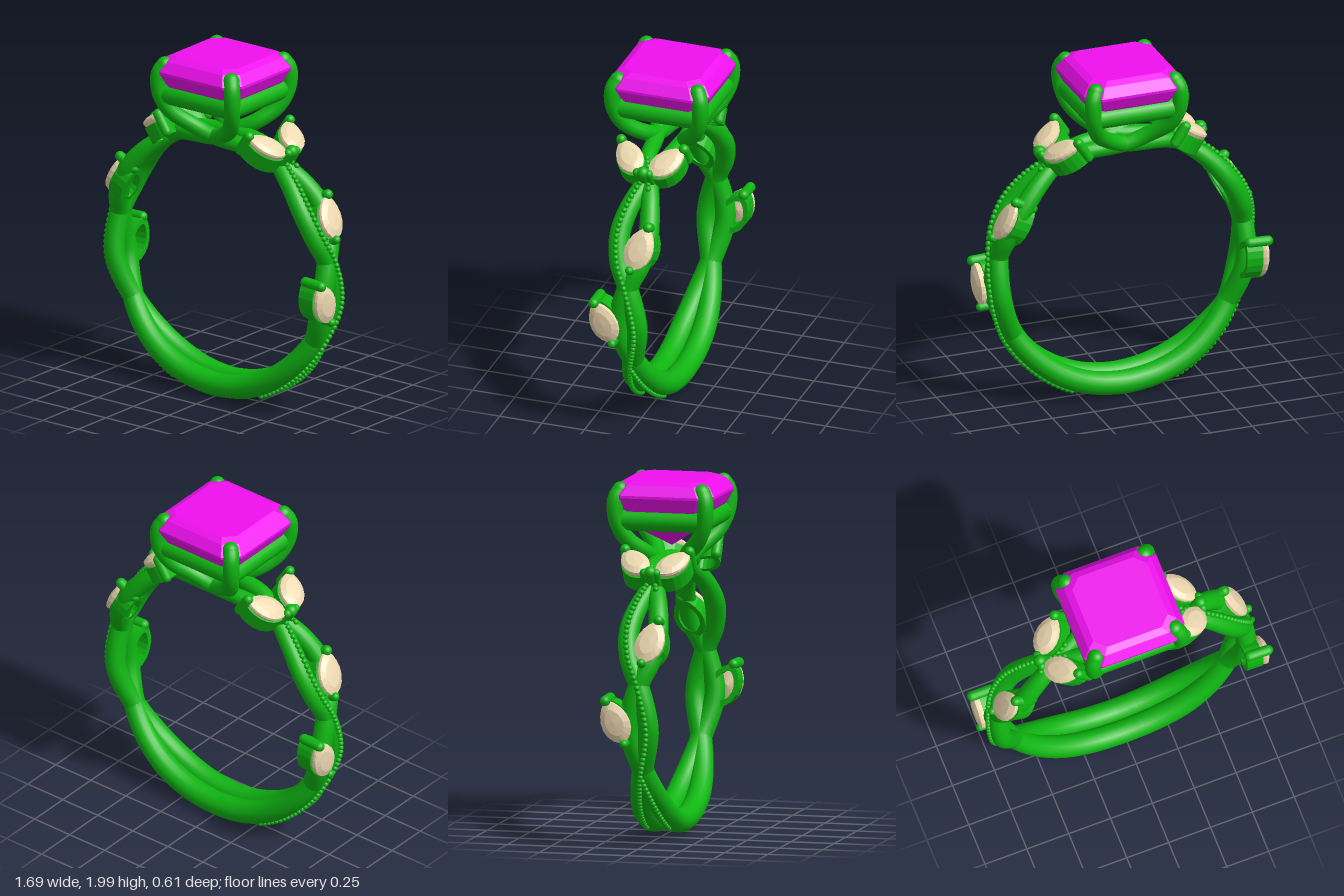
import * as THREE from 'three';
import { mergeGeometries } from 'three/addons/utils/BufferGeometryUtils.js';

const V = (x, y, z) => new THREE.Vector3(x, y, z);
const metal = new THREE.MeshStandardMaterial({ color: 0x0fb512 });
const gemMat = new THREE.MeshStandardMaterial({ color: 0xf010f0, flatShading: true });
const leafMat = new THREE.MeshStandardMaterial({ color: 0xecd8b0, flatShading: true });

const CY = 0.81; // height of the ring centre
const R = 0.738; // radius of the band centre line

function mesh(name, geo, mat) {
  const m = new THREE.Mesh(geo, mat);
  m.name = name;
  return m;
}

// Faceted solid from one 2D outline, repeated at [height, scale] along z
function loft(outline, layers) {
  const pos = [];
  const n = outline.length;
  const at = (i, [h, s]) => [outline[i % n].x * s, outline[i % n].y * s, h];
  for (let j = 0; j < layers.length - 1; j++) {
    const lo = layers[j], hi = layers[j + 1];
    for (let i = 0; i < n; i++) {
      const a = at(i, lo), b = at(i + 1, lo), c = at(i + 1, hi), d = at(i, hi);
      if (lo[1] > 0) pos.push(...a, ...b, ...c);
      if (hi[1] > 0) pos.push(...a, ...c, ...d);
      if (lo[1] === 0) pos.push(...a, ...c, ...d);
    }
  }
  const g = new THREE.BufferGeometry();
  g.setAttribute('position', new THREE.Float32BufferAttribute(pos, 3));
  g.computeVertexNormals();
  return g;
}

// Tube whose radius follows a function of the arc length fraction
function taperTube(path, segs, sides, radius) {
  const g = new THREE.TubeGeometry(path, segs, 1, sides);
  const p = g.attributes.position;
  const v = V(0, 0, 0);
  for (let i = 0; i <= segs; i++) {
    const c = path.getPointAt(i / segs);
    for (let j = 0; j <= sides; j++) {
      const k = i * (sides + 1) + j;
      v.fromBufferAttribute(p, k).sub(c).multiplyScalar(radius(i / segs)).add(c);
      p.setXYZ(k, v.x, v.y, v.z);
    }
  }
  return g;
}

const strandRadius = (u) =>
  0.067 - 0.009 * THREE.MathUtils.smoothstep(u, 0.1, 0.4) - 0.012 * THREE.MathUtils.smoothstep(u, 0.55, 0.72);

// One strand: from the bottom, weaving up the side, under the head, ending as a prong
function strandPath(k) {
  const weave = [[-10, 0.065], [0, 0.065], [15, 0.065], [30, 0.06], [45, 0.038], [60, 0], [80, -0.055],
    [99, 0], [110, 0.06], [122, 0.083], [136, 0.055], [150, 0], [160, -0.05]];
  const pts = weave.map(([deg, z]) => {
    const t = THREE.MathUtils.degToRad(deg);
    return V(R * Math.sin(t), CY - R * Math.cos(t), k * z);
  });
  const arm = [[0, 1.535, 0.085], [-0.12, 1.59, 0.125], [-0.215, 1.68, 0.21],
    [-0.255, 1.79, 0.255], [-0.258, 1.9, 0.258], [-0.235, 1.95, 0.235]];
  for (const [x, y, z] of arm) pts.push(V(x, y, -k * z));
  return new THREE.CatmullRomCurve3(pts);
}

// Row of small beads on the outer face of a strand
function beadRow(path, ranges) {
  const geos = [];
  const count = Math.floor(path.getLength() / 0.028);
  for (let i = 0; i <= count; i++) {
    const u = i / count;
    const p = path.getPointAt(u);
    const deg = THREE.MathUtils.radToDeg(Math.atan2(p.x, CY - p.y));
    if (!ranges.some(([a, b]) => deg > a && deg < b)) continue;
    const out = V(p.x, p.y - CY, 0).normalize();
    p.addScaledVector(out, strandRadius(u) + 0.003);
    geos.push(new THREE.SphereGeometry(0.016, 10, 8).translate(p.x, p.y, p.z));
  }
  return mergeGeometries(geos);
}

// Leaf-shaped outline, pointed at both ends of y
function leafOutline(w, l) {
  const pts = [];
  for (let i = 0; i < 18; i++) {
    const a = (i / 18) * Math.PI * 2 + Math.PI / 2;
    const c = Math.cos(a), s = Math.sin(a);
    pts.push(new THREE.Vector2(w * c * Math.abs(c) ** 0.3 * (1 - 0.12 * s), l * s));
  }
  return pts;
}

// Leaf stone in an open bezel, set between its two end points, facing normal
function leaf(low, high, normal, w) {
  const g = new THREE.Group();
  g.name = 'leafSetting';
  const axis = high.clone().sub(low);
  const l = axis.length() / 2;
  axis.normalize();
  const n = normal.clone().addScaledVector(axis, -normal.dot(axis)).normalize();
  g.applyMatrix4(new THREE.Matrix4().makeBasis(axis.clone().cross(n), axis, n));
  g.position.copy(low).add(high).multiplyScalar(0.5);

  const outline = leafOutline(w, l);
  g.add(mesh('leafStone', loft(outline, [[-0.06, 0], [-0.03, 0.85], [-0.005, 0.98], [0.008, 0.95], [0.024, 0.6], [0.028, 0]]), leafMat));

  const shape = new THREE.Shape(outline);
  shape.holes.push(new THREE.Path(leafOutline(w * 0.68, l * 0.7)));
  const bezel = mesh('leafBezel', new THREE.ExtrudeGeometry(shape, { depth: 0.095, bevelEnabled: false }), metal);
  bezel.position.z = -0.12;
  g.add(bezel);

  // Rounded pins at both tips
  for (const [y, r] of [[l, 0.029], [-l, 0.024]]) {
    const pin = mesh('leafPin', new THREE.CapsuleGeometry(r, 0.11, 6, 14), metal);
    pin.rotation.x = Math.PI / 2;
    pin.position.set(0, y, -0.045);
    g.add(pin);
  }
  return g;
}

// One side of the ring: two strands, their prongs, beads and leaves
function ringHalf() {
  const half = new THREE.Group();
  half.name = 'ringHalf';
  for (const k of [1, -1]) {
    const path = strandPath(k);
    half.add(mesh('strand', taperTube(path, 150, 18, strandRadius), metal));
    const tip = mesh('prongTip', new THREE.SphereGeometry(0.046, 18, 12), metal);
    tip.position.copy(path.getPointAt(1));
    half.add(tip);
    half.add(mesh('beadRow', beadRow(path, k > 0 ? [[22, 156]] : [[22, 58], [140, 157]]), metal));
    // Upper pair of leaves
    half.add(leaf(V(0.475, 1.515, k * 0.035), V(0.315, 1.62, k * 0.185), V(0.54, 0.84, 0), 0.077));
  }
  const ball = mesh('pairBall', new THREE.CapsuleGeometry(0.036, 0.05, 6, 16), metal);
  ball.position.set(0.465, 1.505, 0);
  ball.rotation.z = -0.6;
  half.add(ball);
  half.add(leaf(V(0.765, 1.055, -0.025), V(0.65, 1.28, -0.095), V(0.87, 0.5, 0), 0.085));
  half.add(leaf(V(0.8, 0.605, 0.065), V(0.808, 0.845, 0.17), V(1, 0, 0.03), 0.085));
  return half;
}

export function createModel() {
  const root = new THREE.Group();
  root.name = 'ring';

  // The two sides are half-turn copies
  for (const turn of [0, Math.PI]) {
    const half = ringHalf();
    half.rotation.y = turn;
    root.add(half);
  }

  // Square step-cut centre stone with trimmed corners
  const h = 0.3, c = 0.22;
  const octagon = [[h, -c], [h, c], [c, h], [-c, h], [-h, c], [-h, -c], [-c, -h], [c, -h]]
    .map(([x, y]) => new THREE.Vector2(x, y));
  const gem = mesh('centreStone', loft(octagon, [[1.615, 0], [1.72, 0.55], [1.84, 0.88], [1.91, 1], [1.925, 1],
    [1.98, 0.87], [2, 0.74], [2, 0]]), gemMat);
  gem.rotation.x = -Math.PI / 2;
  root.add(gem);

  // Square rail under the stone
  for (let i = 0; i < 4; i++) {
    const side = new THREE.Group();
    side.name = 'railSide';
    side.rotation.y = (i * Math.PI) / 2;
    const bar = mesh('railBar', new THREE.CylinderGeometry(0.06, 0.06, 0.46, 18), metal);
    bar.rotation.z = Math.PI / 2;
    bar.position.set(0, 1.78, 0.225);
    side.add(bar);
    root.add(side);
  }
  return root;
}
